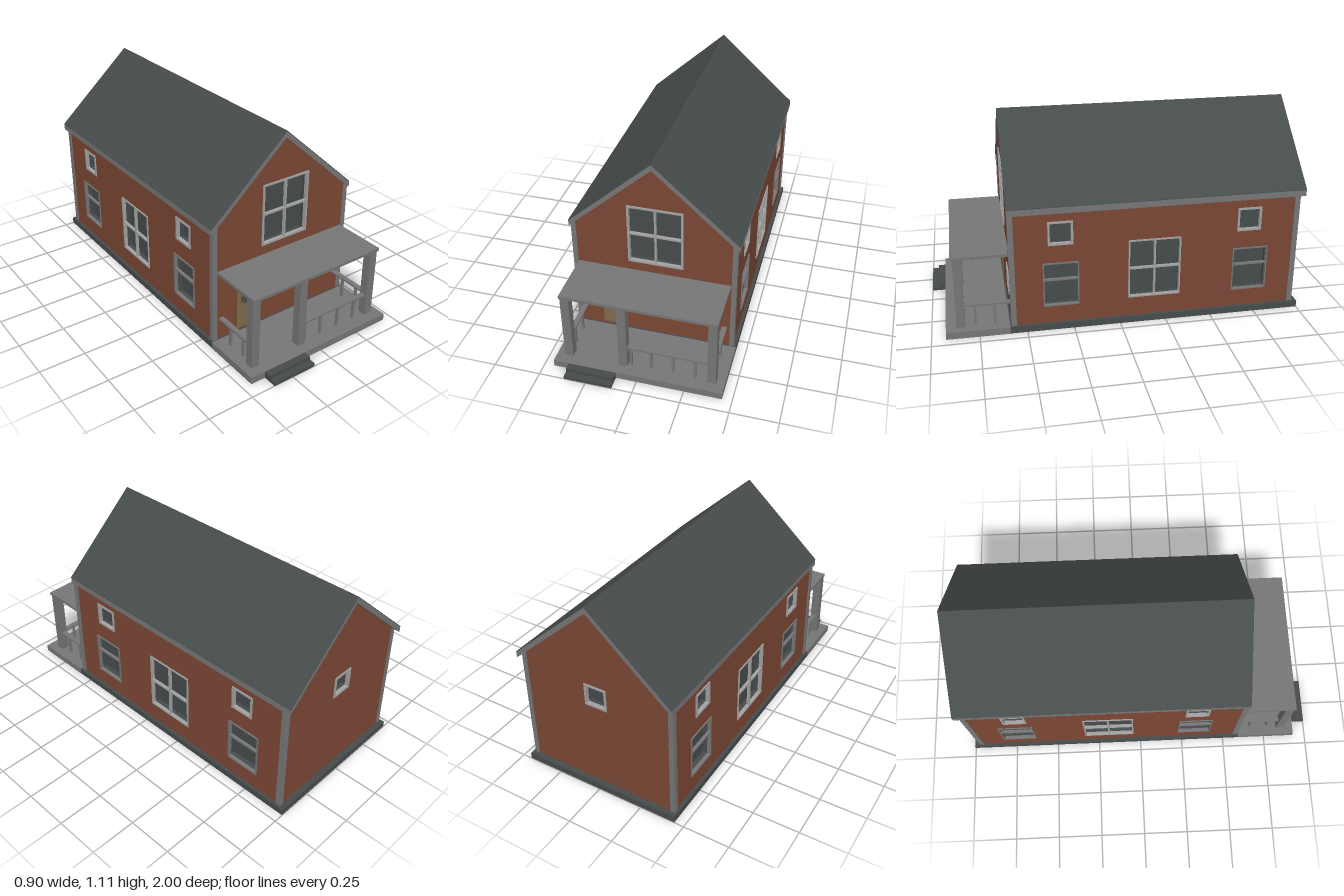
import * as THREE from 'three';

const mat = (name, color) => {
  const m = new THREE.MeshStandardMaterial({ color });
  m.name = name;
  return m;
};

export function createModel() {
  const brick = mat('brick red', 0x7b4734);
  const trim = mat('grey trim', 0x767676);
  const slate = mat('dark slate', 0x464b4b);
  const pale = mat('pale frame', 0xa2a2a2);
  const wood = mat('door wood', 0x806a4c);
  const knob = mat('bronze', 0x6b4a2a);

  const house = new THREE.Group();
  house.name = 'house';
  const FRONT = 0.58, BACK = -0.97, SIDE = 0.43, DEPTH = 0.045;

  // Box given by its minimum and maximum on each axis
  function box(parent, name, material, x0, x1, y0, y1, z0, z1) {
    const m = new THREE.Mesh(new THREE.BoxGeometry(x1 - x0, y1 - y0, z1 - z0), material);
    m.position.set((x0 + x1) / 2, (y0 + y1) / 2, (z0 + z1) / 2);
    m.name = name;
    parent.add(m);
    return m;
  }

  const shapeOf = (pts) => new THREE.Shape(pts.map(([x, y]) => new THREE.Vector2(x, y)));
  const rect = (x0, x1, y0, y1) => [[x0, y0], [x1, y0], [x1, y1], [x0, y1]];

  function extrude(parent, name, shape, z0, z1, material) {
    const geo = new THREE.ExtrudeGeometry(shape, { depth: z1 - z0, bevelEnabled: false });
    geo.translate(0, 0, z0);
    const m = new THREE.Mesh(geo, material);
    m.name = name;
    parent.add(m);
  }

  // Wall with recessed windows; its outer face is local z = 0
  function wall(name, outline, windows) {
    const g = new THREE.Group();
    g.name = name;
    const shape = shapeOf(outline);
    for (const { x0, x1, y0, y1, frame, t = 0.011, vertical, horizontal } of windows) {
      const e = 0.003;
      shape.holes.push(shapeOf(rect(x0 + e, x1 - e, y0 + e, y1 - e)));
      const ring = shapeOf(rect(x0, x1, y0, y1));
      ring.holes.push(shapeOf(rect(x0 + t, x1 - t, y0 + t, y1 - t)));
      extrude(g, 'windowFrame', ring, -0.015, 0.006, frame);
      box(g, 'windowGlass', slate, x0, x1, y0, y1, -DEPTH - 0.004, -DEPTH + 0.002);
      if (vertical !== undefined) {
        box(g, 'windowMullion', frame, vertical - 0.005, vertical + 0.005, y0 + t, y1 - t, -0.012, 0.004);
      }
      if (horizontal !== undefined) {
        box(g, 'windowRail', frame, x0 + t, x1 - t, horizontal - 0.005, horizontal + 0.005, -0.012, 0.005);
      }
    }
    extrude(g, 'wallPanel', shape, -DEPTH, 0, [brick, slate]);
    house.add(g);
    return g;
  }

  // Gable walls
  const w = SIDE - 0.002;
  const gable = [[-w, 0.02], [w, 0.02], [w, 0.7], [0, 1.085], [-w, 0.7]];
  wall('frontWall', gable, [
    { x0: -0.133, x1: 0.159, y0: 0.5, y1: 0.845, frame: pale, vertical: 0.013, horizontal: 0.677 },
    { x0: 0.2, x1: 0.33, y0: 0.17, y1: 0.302, frame: pale },
  ]).position.z = FRONT;
  const backWall = wall('backWall', gable, [
    { x0: -0.063, x1: 0.063, y0: 0.515, y1: 0.64, frame: pale },
  ]);
  backWall.position.z = BACK;
  backWall.rotation.y = Math.PI;

  // Long side walls, mirrored; u runs along z with sign s
  for (const s of [1, -1]) {
    const span = (a, b) => (s > 0 ? { x0: -b, x1: -a } : { x0: a, x1: b });
    const ends = span(BACK + 0.002, FRONT - 0.002);
    const windows = [
      { ...span(-0.326, -0.043), y0: 0.145, y1: 0.48, frame: pale, t: 0.008, vertical: 0.185 * s, horizontal: 0.316 },
    ];
    for (const [a, b] of [[0.22, 0.41], [-0.81, -0.615]]) {
      windows.push({ ...span(a, b), y0: 0.135, y1: 0.385, frame: trim, t: 0.007, horizontal: 0.288 });
    }
    for (const [a, b] of [[0.248, 0.38], [-0.763, -0.632]]) {
      windows.push({ ...span(a, b), y0: 0.485, y1: 0.617, frame: pale });
    }
    const side = wall(s > 0 ? 'leftWall' : 'rightWall', rect(ends.x0, ends.x1, 0.02, 0.69), windows);
    side.position.x = s * SIDE;
    side.rotation.y = s * Math.PI / 2;

    // Corner boards
    const xa = s > 0 ? 0.41 : -0.436, xb = s > 0 ? 0.436 : -0.41;
    box(house, 'cornerBoard', trim, xa, xb, 0.03, 0.692, FRONT - 0.025, FRONT + 0.004);
    box(house, 'cornerBoard', trim, xa, xb, 0.03, 0.692, BACK - 0.004, BACK + 0.025);
  }

  // Base course and floor
  box(house, 'baseCourse', slate, -0.448, 0.448, 0.002, 0.037, -1, 0.59);
  box(house, 'floorUnderside', brick, -0.446, 0.446, 0, 0.003, -0.998, 0.59);

  // Roof: grey boards with a thin dark covering
  const chevron = (top, drop) => shapeOf([
    [-0.447, top - 0.402], [-0.447, top - 0.402 - drop], [0, top - drop],
    [0.447, top - 0.402 - drop], [0.447, top - 0.402], [0, top],
  ]);
  extrude(house, 'roofBoards', chevron(1.102, 0.034), -0.999, 0.586, trim);
  extrude(house, 'roofCovering', chevron(1.105, 0.004), -1, 0.587, slate);

  // Porch deck, steps and canopy
  box(house, 'porchDeck', trim, -0.448, 0.448, 0, 0.038, 0.59, 0.925);
  box(house, 'upperStep', slate, -0.365, -0.11, 0.018, 0.036, 0.92, 0.965);
  box(house, 'lowerStep', slate, -0.365, -0.11, 0, 0.018, 0.92, 1);
  box(house, 'porchRoof', trim, -0.408, 0.408, 0.429, 0.445, FRONT, 0.878);
  for (const x of [-0.383, -0.087, 0.381]) {
    box(house, 'porchPost', trim, x - 0.023, x + 0.023, 0.038, 0.43, 0.823, 0.869);
  }

  // Porch railings
  box(house, 'frontRail', trim, -0.065, 0.36, 0.152, 0.162, 0.832, 0.86);
  for (const x of [-0.048, 0.057, 0.174, 0.289]) {
    box(house, 'baluster', trim, x - 0.006, x + 0.006, 0.038, 0.153, 0.84, 0.852);
  }
  for (const x of [-0.383, 0.381]) {
    box(house, 'sideRail', trim, x - 0.014, x + 0.014, 0.152, 0.162, FRONT, 0.825);
    for (const z of [0.665, 0.768]) {
      box(house, 'baluster', trim, x - 0.006, x + 0.006, 0.038, 0.153, z - 0.006, z + 0.006);
    }
  }

  // Front door with a small pane and corner studs
  box(house, 'doorSurround', knob, -0.291, -0.154, 0.05, 0.278, FRONT - 0.002, FRONT + 0.004);
  box(house, 'door', wood, -0.287, -0.158, 0.053, 0.274, FRONT, FRONT + 0.007);
  box(house, 'doorPane', slate, -0.264, -0.184, 0.198, 0.259, FRONT + 0.004, FRONT + 0.01);
  for (const x of [-0.257, -0.191]) {
    for (const y of [0.205, 0.252]) {
      box(house, 'doorStud', wood, x - 0.006, x + 0.006, y - 0.006, y + 0.006, FRONT + 0.006, FRONT + 0.013);
    }
  }
  return house;
}
